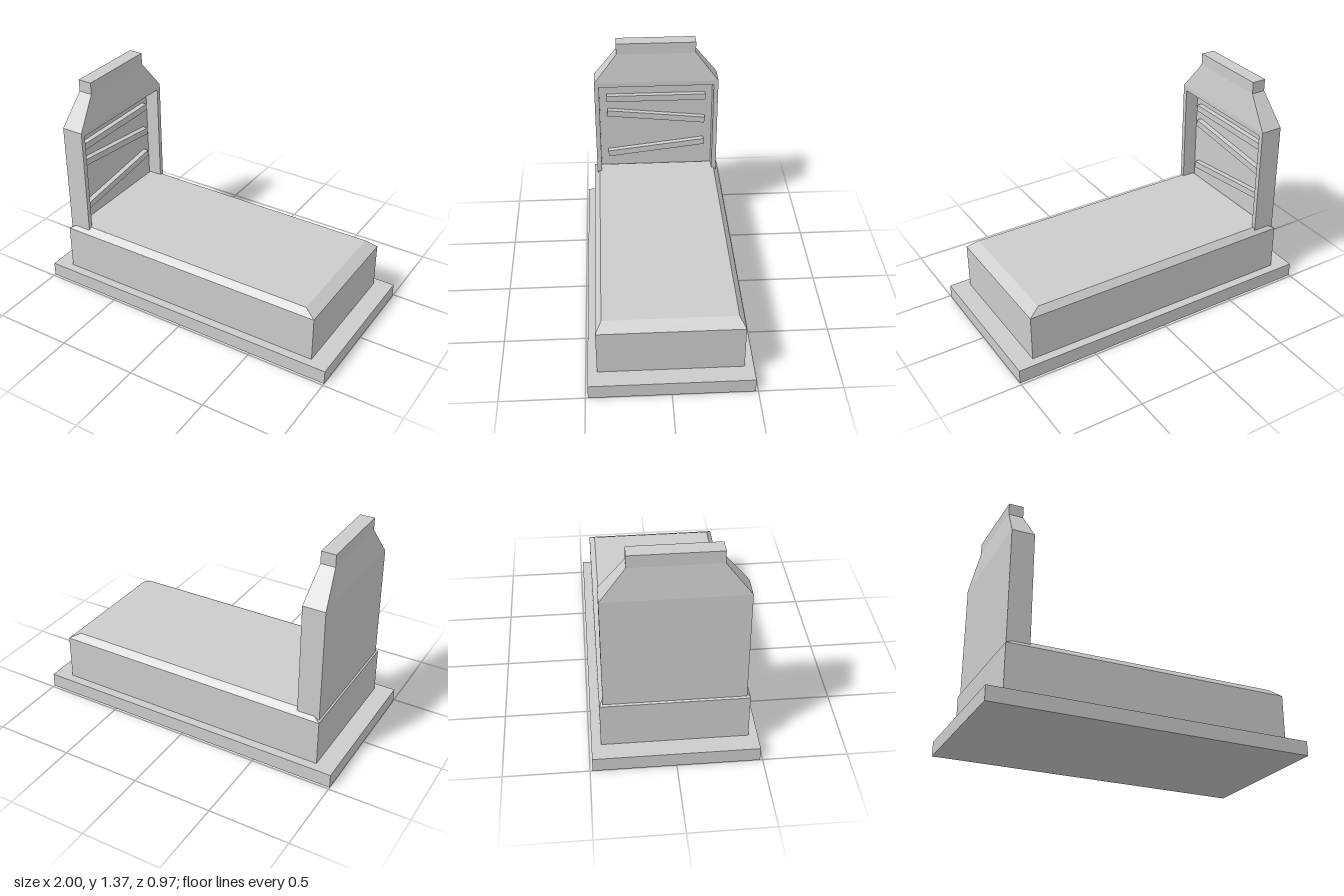
import * as THREE from 'three';

const material = new THREE.MeshStandardMaterial({ color: 0xcccccc, flatShading: true });

function addMesh(parent, name, geometry, x = 0, y = 0, z = 0) {
  const mesh = new THREE.Mesh(geometry, material);
  mesh.name = name;
  mesh.position.set(x, y, z);
  parent.add(mesh);
  return mesh;
}

// Closed solid through stacked rectangles: [y, half width in x, half depth in z]
function rectLoft(levels) {
  const positions = [];
  const index = [];
  for (const [y, hx, hz] of levels) {
    positions.push(-hx, y, hz, hx, y, hz, hx, y, -hz, -hx, y, -hz);
  }
  for (let l = 0; l < levels.length - 1; l++) {
    for (let i = 0; i < 4; i++) {
      const a = l * 4 + i, b = l * 4 + (i + 1) % 4;
      index.push(a, b, b + 4, a, b + 4, a + 4);
    }
  }
  const t = (levels.length - 1) * 4;
  index.push(0, 2, 1, 0, 3, 2, t, t + 1, t + 2, t, t + 2, t + 3);
  const geometry = new THREE.BufferGeometry();
  geometry.setAttribute('position', new THREE.Float32BufferAttribute(positions, 3));
  geometry.setIndex(index);
  const flat = geometry.toNonIndexed();
  flat.computeVertexNormals();
  return flat;
}

export function createModel() {
  const group = new THREE.Group();

  // Plinth and bevelled slab
  addMesh(group, 'plinth', new THREE.BoxGeometry(2, 0.09, 0.97), 0, 0.045, 0);
  addMesh(group, 'slab', rectLoft([[0.09, 0.885, 0.43], [0.38, 0.885, 0.43], [0.42, 0.815, 0.395]]));

  // Headstone: back panel, raised frame around the recess, tapered crown
  const headstone = new THREE.Group();
  headstone.name = 'headstone';
  group.add(headstone);
  const back = -0.877, floor = -0.83, front = -0.737;
  const bottom = 0.39, shoulder = 1.1, half = 0.41;

  addMesh(headstone, 'backPanel',
    new THREE.BoxGeometry(floor - back, shoulder - bottom, half * 2),
    (back + floor) / 2, (bottom + shoulder) / 2, 0);

  const arch = new THREE.Shape();
  [[-half, bottom], [-0.38, bottom], [-0.38, 1.07], [0.38, 1.07],
    [0.38, bottom], [half, bottom], [half, shoulder], [-half, shoulder]]
    .forEach(([u, v], i) => (i ? arch.lineTo(u, v) : arch.moveTo(u, v)));
  const frame = new THREE.ExtrudeGeometry(arch, { depth: front - floor, bevelEnabled: false });
  frame.rotateY(Math.PI / 2);
  addMesh(headstone, 'frame', frame, floor, 0, 0);

  addMesh(headstone, 'crown',
    rectLoft([[shoulder, 0.07, half], [1.295, 0.045, 0.26], [1.37, 0.045, 0.26]]),
    (back + front) / 2, 0, 0);

  // Slats in the recess: [centre height, tilt]
  [[0.949, 0], [0.805, -0.106], [0.56, 0.12]].forEach(([y, tilt], i) => {
    const slat = addMesh(headstone, `slat${i + 1}`,
      new THREE.BoxGeometry(0.04, 0.043, 0.663), floor + 0.015, y, 0);
    slat.rotation.x = tilt;
  });

  return group;
}
